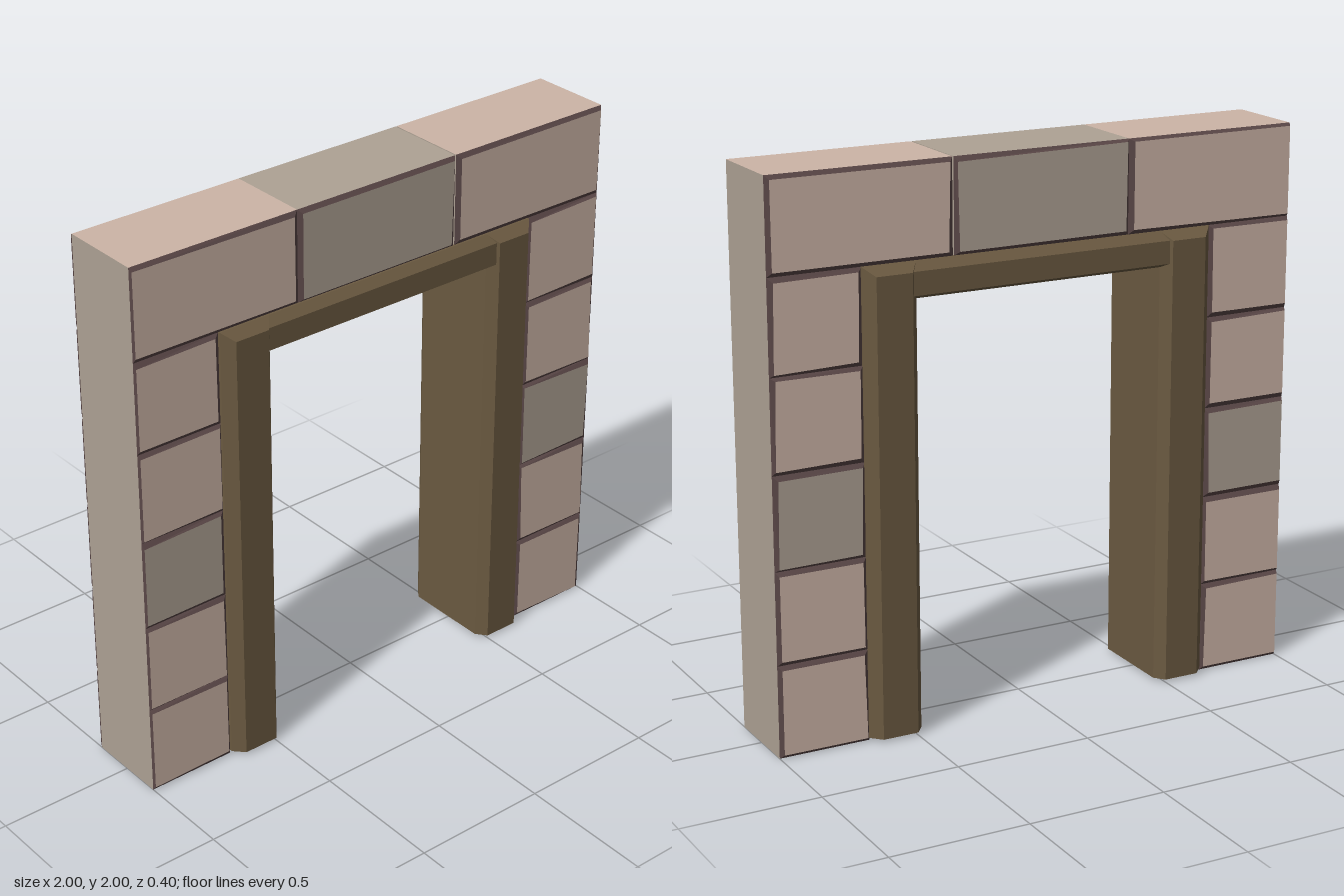
import * as THREE from 'three';

const mat = (color) => new THREE.MeshStandardMaterial({ color, flatShading: true });

// Small seeded generator for the uneven stone edges
let seed = 7;
const rand = () => (seed = (seed * 16807) % 2147483647) / 2147483647;

// Block lofted through four rectangles along z, with bevelled front and back.
// inset() gives the bevel width [left, right, bottom, top] at each face corner.
// Material groups: 0 faces, 1 bevels, 2 sides and underside, 3 top.
function bevelBlock(name, [x0, x1, y0, y1], zBody, zFace, inset, materials) {
  const rect = (z, bevelled) => {
    const c = [[x0, y0, 0, 2], [x1, y0, 1, 2], [x1, y1, 1, 3], [x0, y1, 0, 3]];
    return c.map(([x, y, h, v]) => {
      const n = bevelled ? inset() : [0, 0, 0, 0];
      return [x + (h ? -n[1] : n[0]), y + (v === 3 ? -n[3] : n[2]), z];
    });
  };
  const rings = [rect(-zFace, true), rect(-zBody), rect(zBody), rect(zFace, true)];
  const geo = new THREE.BufferGeometry();
  const pos = [];
  const quad = (a, b, c, d, m) => {
    geo.addGroup(pos.length / 3, 6, m);
    pos.push(...a, ...b, ...c, ...a, ...c, ...d);
  };
  for (let k = 0; k < 3; k++) {
    for (let i = 0; i < 4; i++) {
      const j = (i + 1) % 4;
      const m = k !== 1 ? 1 : i === 2 ? 3 : 2;
      quad(rings[k][i], rings[k][j], rings[k + 1][j], rings[k + 1][i], m);
    }
  }
  quad(...rings[3], 0);
  quad(...[...rings[0]].reverse(), 0);
  geo.setAttribute('position', new THREE.Float32BufferAttribute(pos, 3));
  geo.computeVertexNormals();
  const mesh = new THREE.Mesh(geo, materials);
  mesh.name = name;
  return mesh;
}

export function createModel() {
  seed = 7;
  const model = new THREE.Group();
  model.name = 'stoneDoorway';

  const pink = mat(0xcdb5a7), grey = mat(0xaea294), mortar = mat(0x5a4747);
  const wood = mat(0x6b5a41);
  const pinkStone = [pink, mortar, grey, pink];
  const greyStone = [grey, mortar, grey, grey];
  const timber = [wood, wood, wood, wood];

  // Uneven narrow bevels round each stone
  const edge = () => 0.009 + rand() * 0.01;
  const stoneInset = (left, right) => () => [
    left ? edge() : 0.004, right ? edge() : 0.004, edge(), edge()];
  const stone = (name, box, materials, inset) =>
    model.add(bevelBlock(name, box, 0.154, 0.165, inset, materials));

  // Side columns: five stones each, the middle one grey
  const h = 1 / 3;
  for (let i = 0; i < 5; i++) {
    const m = i === 2 ? greyStone : pinkStone;
    const y = [i * h, (i + 1) * h];
    stone('leftColumnStone' + (i + 1), [0.665, 1, ...y], m, stoneInset(true, true));
    stone('rightColumnStone' + (i + 1), [-1, -0.67, ...y], m, stoneInset(false, true));
  }

  // Top course
  const top = [5 * h, 2];
  stone('topStoneRight', [-1, -0.345, ...top], pinkStone, stoneInset(false, true));
  stone('topStoneMiddle', [-0.345, 0.325, ...top], greyStone, stoneInset(true, true));
  stone('topStoneLeft', [0.33, 1, ...top], pinkStone, stoneInset(true, true));

  // Timber frame: two bevelled posts and the slightly shallower head between them
  model.add(bevelBlock('framePostLeft', [0.47, 0.668, 0.01, 1.667], 0.162, 0.2,
    () => [0.03, 0.036, 0, 0.03], timber));
  model.add(bevelBlock('framePostRight', [-0.668, -0.47, 0.01, 1.667], 0.162, 0.2,
    () => [0.036, 0.03, 0, 0.03], timber));
  model.add(bevelBlock('frameHead', [-0.51, 0.51, 1.54, 1.667], 0.162, 0.191,
    () => [0, 0, 0.015, 0.03], timber));

  return model;
}
